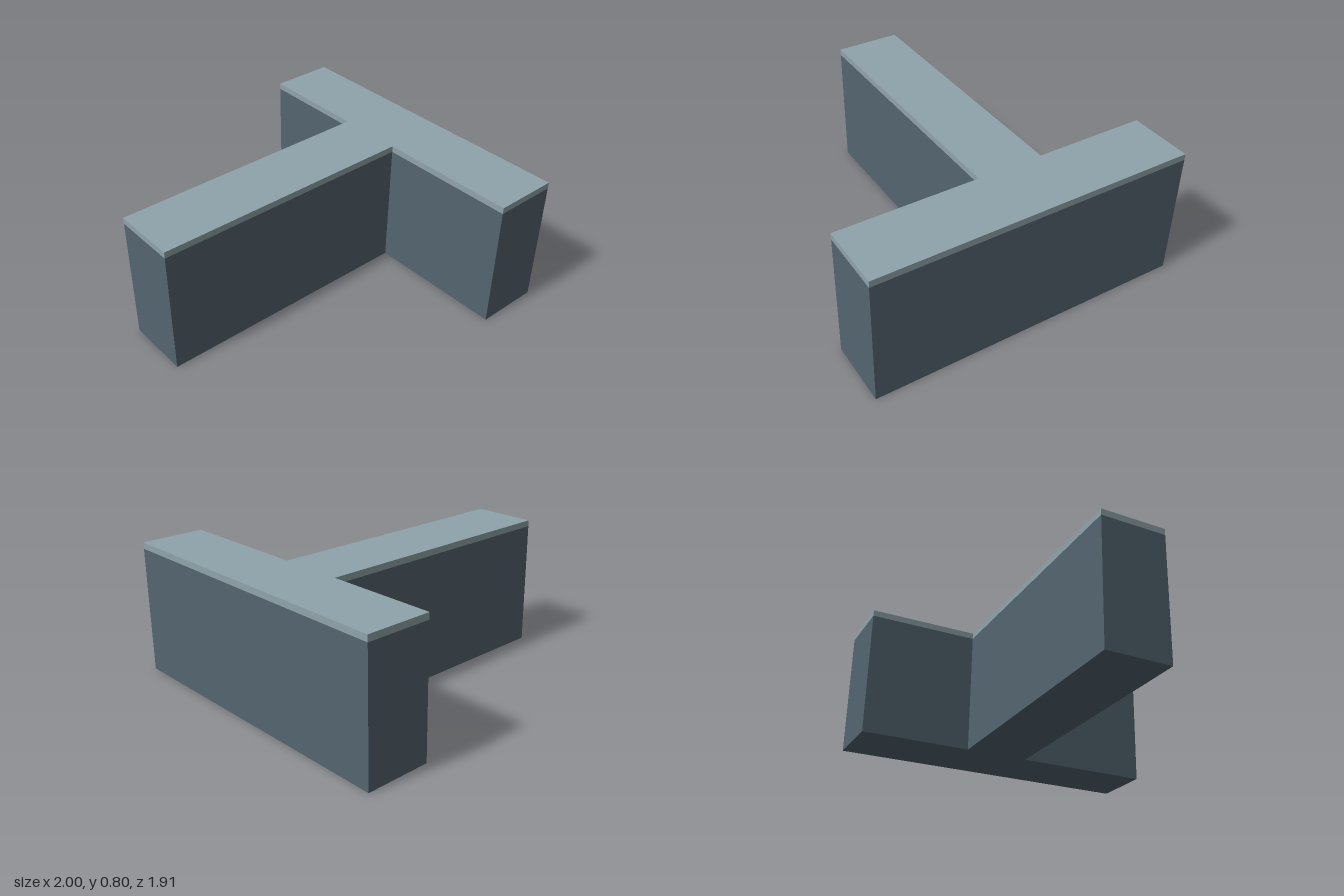
import * as THREE from 'three';

// T-shaped plan, as [x, z] corners
const PLAN = [
  [-1, 0.11], [0.61, 0.11], [0.61, 0.955], [1, 0.955],
  [1, -0.955], [0.61, -0.955], [0.61, -0.285], [-1, -0.285],
];

// Extrudes the plan upward from y = bottom to y = top
function slab(name, bottom, top, color) {
  const shape = new THREE.Shape(PLAN.map(([x, z]) => new THREE.Vector2(x, -z)));
  const geometry = new THREE.ExtrudeGeometry(shape, { depth: top - bottom, bevelEnabled: false });
  geometry.rotateX(-Math.PI / 2).translate(0, bottom, 0);
  const mesh = new THREE.Mesh(geometry, new THREE.MeshStandardMaterial({ color }));
  mesh.name = name;
  return mesh;
}

export function createModel() {
  const model = new THREE.Group();
  model.name = 'wallJunction';
  // Dark wall body with a thin, lighter cap of the same outline
  model.add(slab('wallBody', 0, 0.762, 0x546570));
  model.add(slab('wallCap', 0.762, 0.8, 0x90a4ab));
  return model;
}
